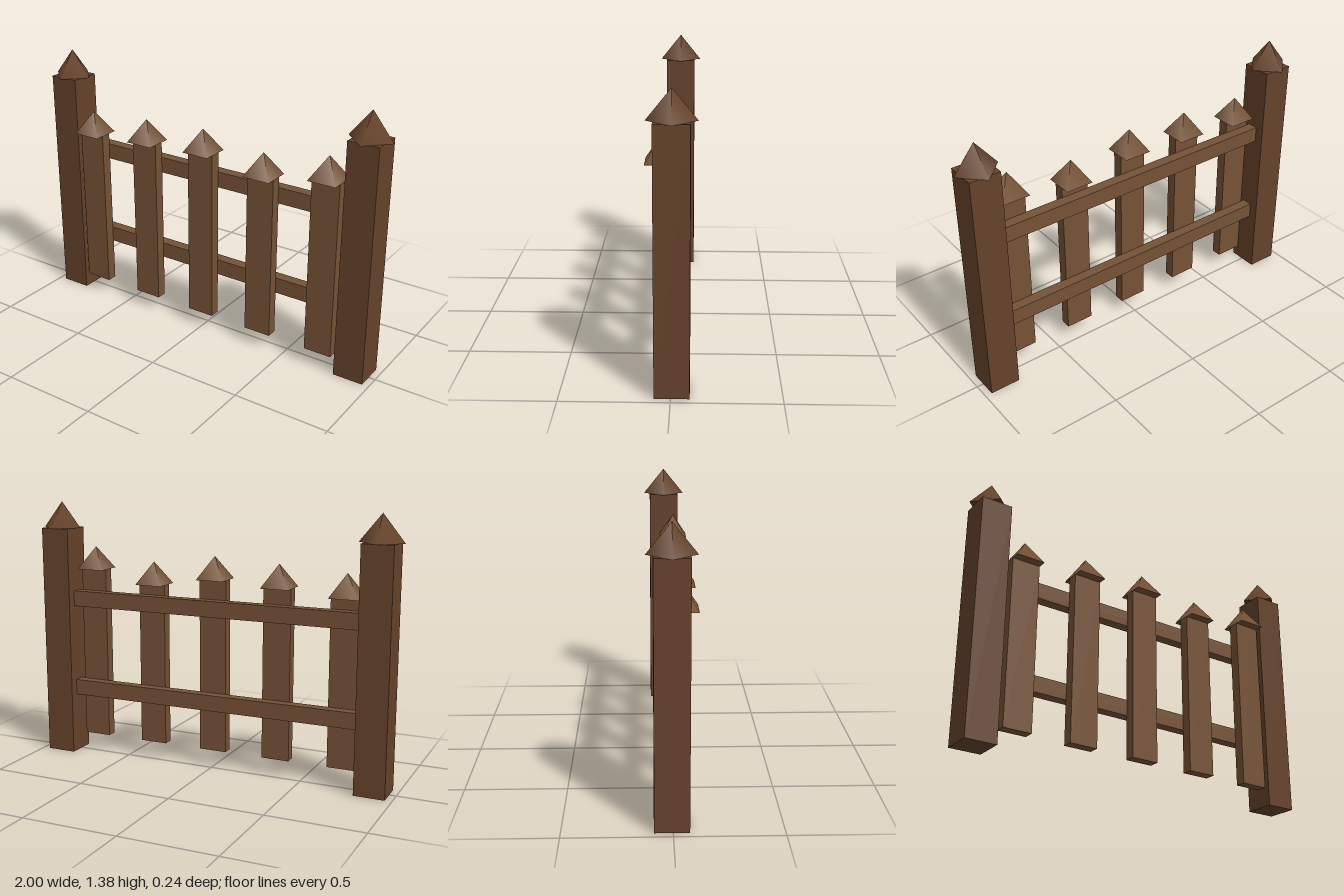
import * as THREE from 'three';

const darkWood = new THREE.MeshStandardMaterial({ color: 0x65432b });
const lightWood = new THREE.MeshStandardMaterial({ color: 0x755236 });

function addMesh(parent, name, geometry, material, x, y, z) {
  const mesh = new THREE.Mesh(geometry, material);
  mesh.name = name;
  mesh.position.set(x, y, z);
  parent.add(mesh);
  return mesh;
}

export function createModel() {
  const fence = new THREE.Group();
  fence.name = 'fence';

  // End posts, each with a diamond-set pyramid cap
  const postHeight = 1.24, postZ = -0.005;
  const postCapHeight = 0.14;
  for (const [side, x] of [['right', -0.885], ['left', 0.885]]) {
    const post = new THREE.Group();
    post.name = `${side}Post`;
    addMesh(post, 'postBody', new THREE.BoxGeometry(0.16, postHeight, 0.16), darkWood, x, postHeight / 2, postZ);
    addMesh(post, 'postCap', new THREE.ConeGeometry(0.113, postCapHeight, 4), darkWood,
      x, postHeight + postCapHeight / 2, postZ);
    fence.add(post);
  }

  // Two horizontal rails let into the posts
  for (const [name, y] of [['lowerRail', 0.363], ['upperRail', 0.86]]) {
    addMesh(fence, name, new THREE.BoxGeometry(1.7, 0.084, 0.057), lightWood, 0, y, -0.008);
  }

  // Pickets of uneven height with square pyramid tips
  const bottom = 0.09, spacing = 0.354, picketZ = 0.045, tipHeight = 0.12;
  [0.96, 0.985, 1.005, 0.957, 1.02].forEach((top, i) => {
    const x = (i - 2) * spacing;
    const picket = new THREE.Group();
    picket.name = `picket${i + 1}`;
    addMesh(picket, 'picketBoard', new THREE.BoxGeometry(0.148, top - bottom, 0.055), lightWood,
      x, (top + bottom) / 2, picketZ);
    const tip = addMesh(picket, 'picketTip', new THREE.ConeGeometry(0.105, tipHeight, 4), lightWood,
      x, top + tipHeight / 2, picketZ);
    tip.rotation.y = Math.PI / 4;
    fence.add(picket);
  });

  return fence;
}
